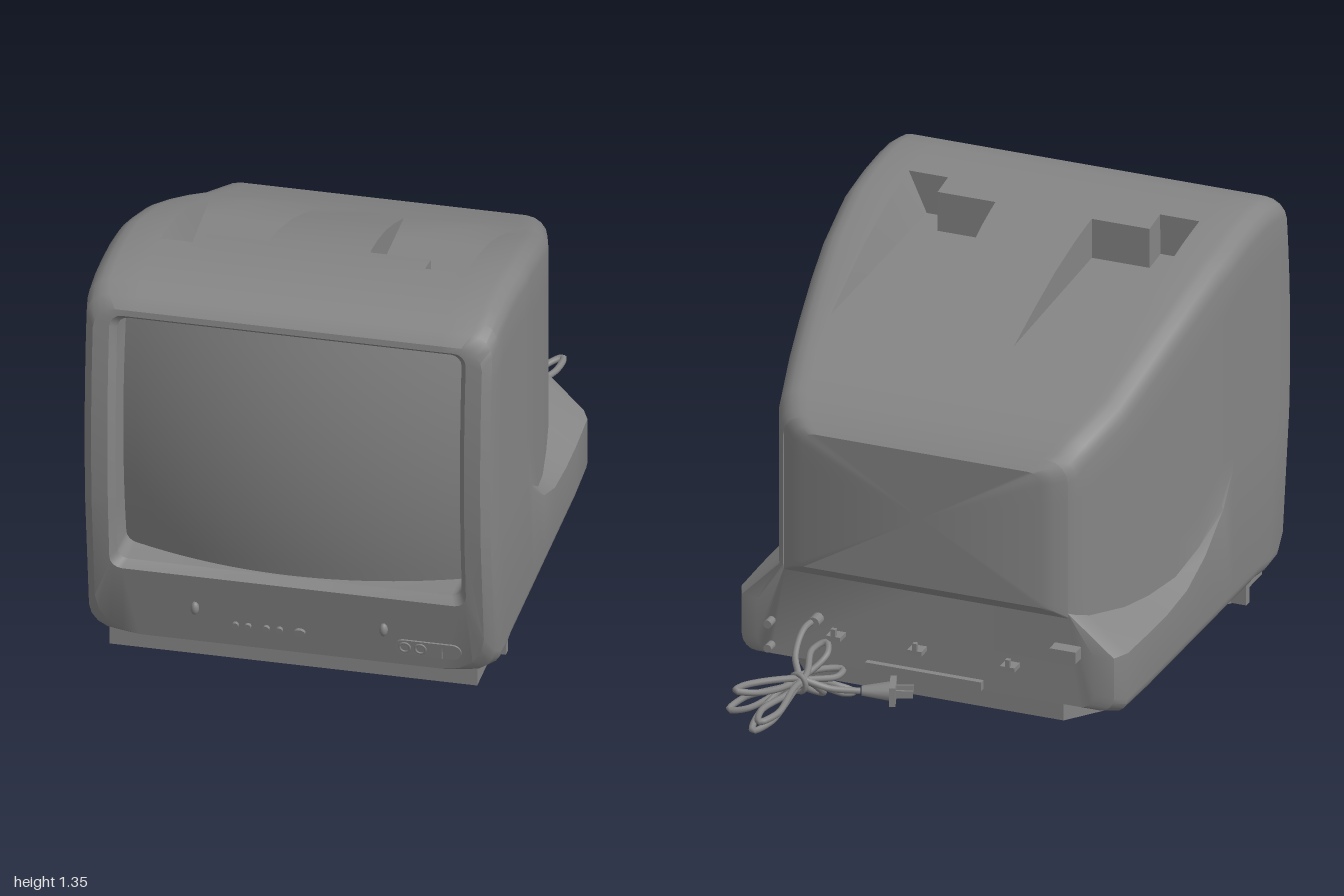
import * as THREE from 'three';
import { toCreasedNormals } from 'three/addons/utils/BufferGeometryUtils.js';

const lerp = THREE.MathUtils.lerp;
const casing = new THREE.MeshStandardMaterial({ color: 0x858585, side: THREE.DoubleSide });
casing.name = 'grey plastic';

// One slice of the shell: z, top height, and whatever differs from the defaults
const S = (z, yt, o = {}) => ({
  z, yt, yb: 0.07, rb: 0.05, wo: 0.67, yo: 0.55, wi: 0.67, yi: 0.6, rt: 0.07, outer: 0, inner: 0, ...o,
});
const ledge = (z, yt, wo, yo, wi, yi, o) => S(z, yt, { wo, yo, wi, yi, ...o });
const same = (w) => ({ wo: w, wi: w });
const cut = { outer: 1, inner: 1 };

// Front face bows: it leans back towards the top and the bottom
const bow = (z, y) => z - 0.08 * ((y - 0.8) / 0.74) ** 2 * THREE.MathUtils.smoothstep(z, 0.5, 0.9);

function sliceLoop(s) {
  const half = [[0, s.yb]];
  for (let i = 0; i <= 4; i++) {
    const a = (i / 4 - 1) * Math.PI / 2;
    half.push([s.wo - s.rb + s.rb * Math.cos(a), s.yb + s.rb + s.rb * Math.sin(a)]);
  }
  half.push([s.wo, s.yo]);
  for (let i = 0; i <= 5; i++) half.push([s.wi, lerp(s.yi, s.yt - s.rt, i / 6)]);
  for (let i = 0; i <= 4; i++) {
    const a = i / 4 * Math.PI / 2;
    half.push([s.wi - s.rt + s.rt * Math.cos(a), s.yt - s.rt + s.rt * Math.sin(a)]);
  }
  // Grip scoop in the top: outer lip, floor, step, inner lip
  const t = THREE.MathUtils.clamp((s.z + 0.06) / 0.68, 0, 1);
  const depth = s.yt - lerp(1.125, 1.2, t);
  const k = Math.min(1, (s.wi - s.rt) / 0.52);
  const lip = lerp(0.49, 0.5, t), side = lerp(0.49, 0.44, t), mid = lerp(0.14, 0.17, t);
  const dO = s.outer * depth, dI = s.inner * depth;
  [[lip, 0], [side, dO], [0.365, dO], [0.365, dI], [mid, dI], [mid, 0], [0, 0]]
    .forEach(([x, d]) => half.push([x * k, s.yt - d]));
  const mirrored = half.slice(1, -1).reverse().map(([x, y]) => [-x, y]);
  return [...half, ...mirrored].map(([x, y]) => new THREE.Vector3(x, y, bow(s.z, y)));
}

// Skin between successive slices, with the back closed
function shellGeometry(slices) {
  const loops = slices.map(sliceLoop), pos = [], n = loops[0].length;
  const tri = (a, b, c) => {
    if (new THREE.Triangle(a, b, c).getArea() > 1e-7) for (const p of [a, b, c]) pos.push(p.x, p.y, p.z);
  };
  const centre = new THREE.Vector3(0, 0.68, slices[0].z);
  for (let i = 0; i < n; i++) {
    const j = (i + 1) % n;
    tri(centre, loops[0][j], loops[0][i]);
    for (let r = 0; r < loops.length - 1; r++) {
      const A = loops[r], B = loops[r + 1];
      tri(A[i], A[j], B[j]);
      tri(A[i], B[j], B[i]);
    }
  }
  const g = new THREE.BufferGeometry();
  g.setAttribute('position', new THREE.Float32BufferAttribute(pos, 3));
  return toCreasedNormals(g, 0.55);
}

export function createModel() {
  const model = new THREE.Group();
  const add = (name, geo, x = 0, y = 0, z = 0, rx = 0, ry = 0, rz = 0) => {
    const m = new THREE.Mesh(geo, casing);
    m.name = name;
    m.position.set(x, y, z);
    m.rotation.set(rx, ry, rz);
    model.add(m);
    return m;
  };
  const box = (name, w, h, d, x, y, z) => add(name, new THREE.BoxGeometry(w, h, d), x, y, z);

  // Shell, from the back wall to the recessed screen surround
  add('shell', shellGeometry([
    S(-0.49, 0.91, { yb: 0.44, rb: 0.005, yo: 0.46, yi: 0.48, rt: 0.04, ...same(0.41) }),
    S(-0.475, 0.925, { yb: 0.425, rb: 0.005, yo: 0.45, yi: 0.47, rt: 0.05, ...same(0.45) }),
    S(-0.45, 0.945, { yb: 0.40, rb: 0.005, yo: 0.41, yi: 0.42, rt: 0.06, ...same(0.49) }),
    ledge(-0.455, 0.945, 0.58, 0.28, 0.49, 0.42, { yb: 0.1 }),
    ledge(-0.435, 0.96, 0.64, 0.28, 0.51, 0.41, { yb: 0.09 }),
    ledge(-0.38, 1.0, 0.665, 0.28, 0.535, 0.39),
    ledge(-0.2, 1.06, 0.67, 0.28, 0.58, 0.35),
    ledge(-0.06, 1.125, 0.67, 0.28, 0.605, 0.335, cut),
    ledge(0.1, 1.195, 0.67, 0.295, 0.63, 0.335, cut),
    ledge(0.25, 1.255, 0.67, 0.35, 0.65, 0.38, cut),
    ledge(0.4, 1.3, 0.67, 0.45, 0.662, 0.47, cut),
    S(0.48, 1.318, cut),
    S(0.525, 1.326, cut),
    S(0.525, 1.326, { outer: 1 }),
    S(0.62, 1.34, { outer: 1 }),
    S(0.62, 1.34),
    S(0.75, 1.347),
    S(0.85, 1.345, { yb: 0.06 }),
    S(0.93, 1.33, { yb: 0.06, rb: 0.06 }),
    S(0.975, 1.305, { yb: 0.06, rb: 0.09, ...same(0.662) }),
    S(1.0, 1.27, { yb: 0.065, rb: 0.14, ...same(0.635) }),
    S(1.0, 1.25, { yb: 0.325, rb: 0.04, rt: 0.04, ...same(0.582) }),
    S(0.97, 1.23, { yb: 0.348, rb: 0.035, rt: 0.035, ...same(0.562) }),
    S(0.82, 1.23, { yb: 0.348, rb: 0.03, rt: 0.03, ...same(0.56) }),
  ]));

  // Bulging picture tube
  const screen = new THREE.PlaneGeometry(1.125, 0.885, 24, 18);
  const p = screen.attributes.position;
  for (let i = 0; i < p.count; i++) p.setZ(i, 0.98 - 0.36 * p.getX(i) ** 2 - 0.25 * p.getY(i) ** 2);
  screen.computeVertexNormals();
  add('screen', screen, 0, 0.789, 0);

  // Base plate with clipped rear corners, and side lugs
  const plan = new THREE.Shape([[-0.6, -0.89], [0.6, -0.89], [0.6, -0.66], [0.57, -0.62], [0.57, 0.2], [0.44, 0.37],
    [-0.44, 0.37], [-0.57, 0.2], [-0.57, -0.62], [-0.6, -0.66]].map(([x, y]) => new THREE.Vector2(x, y)));
  add('basePlate', new THREE.ExtrudeGeometry(plan, { depth: 0.09, bevelEnabled: false }), 0, 0, 0, -Math.PI / 2);
  for (const s of [-1, 1]) box('sideLug', 0.06, 0.09, 0.03, s * 0.615, 0.047, 0.665);

  // Controls on the chin
  const faceZ = (y) => bow(1, y) + 0.002;
  const tilt = 0.16;
  const button = (name, x, y, rx, ry, h) => {
    const g = new THREE.CylinderGeometry(1, 1, h, 20).rotateX(Math.PI / 2).scale(rx, ry, 1);
    return add(name, g, x, y, faceZ(y), tilt);
  };
  for (const s of [-1, 1]) add('peg', new THREE.SphereGeometry(1, 14, 10).scale(0.014, 0.023, 0.016), s * 0.308, 0.2, faceZ(0.2));
  for (const x of [-0.178, -0.137, -0.077, -0.034]) button('button', x, 0.15, 0.011, 0.011, 0.014);
  button('powerButton', 0.032, 0.15, 0.019, 0.013, 0.014);
  const pill = new THREE.Shape();
  pill.absarc(0.08, 0, 0.028, -Math.PI / 2, Math.PI / 2);
  pill.absarc(-0.08, 0, 0.028, Math.PI / 2, Math.PI * 1.5);
  add('socketPanel', new THREE.ExtrudeGeometry(pill, { depth: 0.006, bevelEnabled: false }), 0.452, 0.142, faceZ(0.142), tilt);
  for (const x of [0.376, 0.427]) add('socketRing', new THREE.TorusGeometry(0.017, 0.004, 8, 20), x, 0.142, faceZ(0.142) + 0.006, tilt);
  box('panelDivider', 0.004, 0.054, 0.006, 0.498, 0.142, faceZ(0.142) + 0.005);

  // Rear sockets and cable clips
  box('aerialSocket', 0.09, 0.04, 0.05, -0.49, 0.29, -0.475);
  for (const x of [-0.3, 0.02, 0.3]) {
    box('clipArm', 0.05, 0.015, 0.05, x, 0.21, -0.475);
    box('clipLip', 0.015, 0.035, 0.015, x, 0.225, -0.493);
  }
  for (const y of [0.13, 0.215]) {
    add('jack', new THREE.CylinderGeometry(0.014, 0.014, 0.05, 12), 0.53, y, -0.465, Math.PI / 2);
  }
  box('rearRail', 0.4, 0.03, 0.03, 0, 0.12, -0.46);

  // Bundled mains cord: each loop leaves the tie, rounds its tip and returns
  const V = (x, y, z) => new THREE.Vector3(x, y, z);
  const tie = V(0.34, 0.13, -0.69);
  const path = [V(0.37, 0.25, -0.44), V(0.385, 0.245, -0.54), V(0.38, 0.19, -0.62), tie.clone()];
  const tips = [[0.35, 0.12, -0.99], [0.22, 0.05, -0.52], [0.46, 0.18, -0.92], [0.31, 0.21, -0.53],
    [0.525, 0.06, -0.82], [0.25, 0.13, -0.54], [0.41, 0.04, -0.9], [0.33, 0.03, -0.53]];
  tips.forEach(([x, y, z], i) => {
    const tip = V(x, y, z), dir = tip.clone().sub(tie);
    const across = V(-dir.z, 0.3 * dir.x, dir.x).normalize().multiplyScalar(0.028);
    const at = (f, s) => tie.clone().addScaledVector(dir, f).addScaledVector(across, s);
    path.push(at(0.75, 1), tip, at(0.75, -1), tie.clone().add(V(0.012 * (i % 3 - 1), 0.012 * (i % 2), 0.01)));
  });
  path.push(V(0.25, 0.11, -0.65), V(0.16, 0.1, -0.61));
  add('mainsCord', new THREE.TubeGeometry(new THREE.CatmullRomCurve3(path), 360, 0.011, 8));
  add('cordTie', new THREE.TorusGeometry(0.03, 0.009, 8, 16), tie.x, tie.y, tie.z, 0, -0.3);
  add('cordGrommet', new THREE.CylinderGeometry(0.02, 0.02, 0.05, 12), 0.37, 0.25, -0.47, Math.PI / 2);

  // Plug with two flat pins
  const plug = new THREE.Group();
  plug.name = 'plug';
  const part = (name, geo, x, z) => {
    const m = new THREE.Mesh(geo, casing);
    m.name = name;
    m.position.set(x, 0, z);
    plug.add(m);
  };
  part('plugBody', new THREE.CylinderGeometry(0.045, 0.022, 0.1, 10).rotateZ(Math.PI / 2).scale(1, 0.7, 1), 0, 0);
  part('plugFlange', new THREE.BoxGeometry(0.02, 0.065, 0.1), -0.05, 0);
  for (const z of [-0.022, 0.022]) part('plugPin', new THREE.BoxGeometry(0.06, 0.025, 0.008), -0.085, z);
  plug.position.set(0.11, 0.1, -0.59);
  plug.rotation.y = 0.35;
  model.add(plug);

  return model;
}
